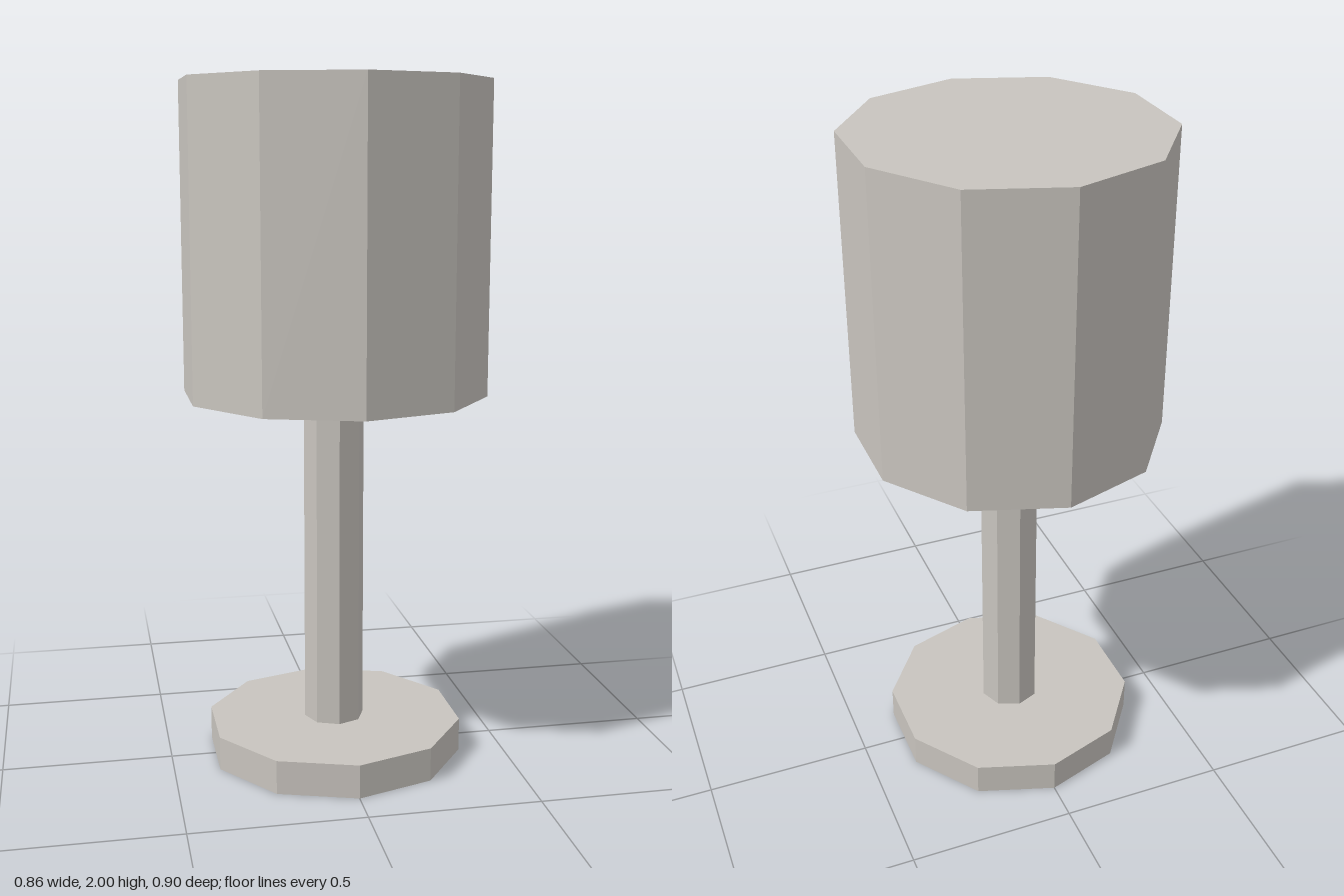
import * as THREE from 'three';

export function createModel() {
  const lamp = new THREE.Group();
  lamp.name = 'tableLamp';

  const warmGrey = new THREE.MeshStandardMaterial({ color: 0xc8c4be, flatShading: true });
  warmGrey.name = 'warmGrey';

  // Upright prism from bottom to top, with one corner facing the front
  function addPrism(name, radius, bottom, top, sides) {
    const geometry = new THREE.CylinderGeometry(radius, radius, top - bottom, sides);
    const mesh = new THREE.Mesh(geometry, warmGrey);
    mesh.name = name;
    mesh.position.y = (bottom + top) / 2;
    lamp.add(mesh);
  }

  addPrism('base', 0.385, 0, 0.1, 10);
  addPrism('stem', 0.09, 0.1, 1.1, 8);
  addPrism('shade', 0.45, 1.1, 2, 10);

  return lamp;
}
